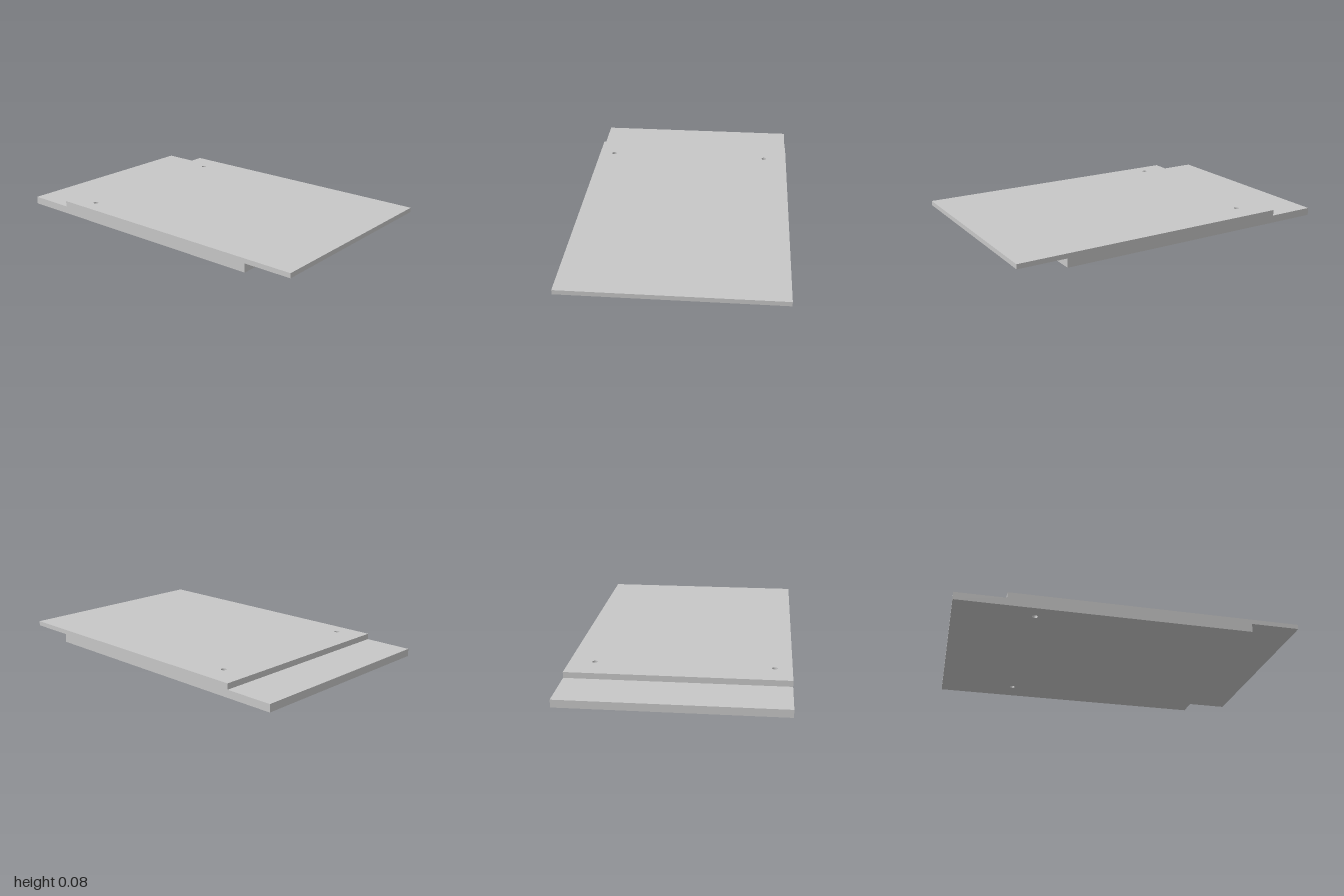
import * as THREE from 'three';

const HALF_DEPTH = 0.635; // z extent
const STEP = 0.71;        // x of both lap joints
const TOP = 0.08;         // full thickness

export function createModel() {
  const group = new THREE.Group();
  group.name = 'lapPanel';
  const grey = new THREE.MeshStandardMaterial({ color: 0xc7c7c7 });
  grey.name = 'lightGrey';

  const add = (name, geometry) => {
    const mesh = new THREE.Mesh(geometry, grey);
    mesh.name = name;
    group.add(mesh);
  };

  // Full-thickness core, drawn in plan (shape y becomes -z) with two through holes
  const plan = new THREE.Shape([
    new THREE.Vector2(-STEP, -HALF_DEPTH),
    new THREE.Vector2(STEP, -HALF_DEPTH),
    new THREE.Vector2(STEP, HALF_DEPTH),
    new THREE.Vector2(-STEP, HALF_DEPTH),
  ]);
  for (const z of [-0.488, 0.536]) {
    plan.holes.push(new THREE.Path().absarc(-0.542, -z, 0.016, 0, Math.PI * 2, true));
  }
  const core = new THREE.ExtrudeGeometry(plan, { depth: TOP, bevelEnabled: false, curveSegments: 24 });
  core.rotateX(-Math.PI / 2);
  add('core', core);

  // Thinner ledges: the lower one at -x, the upper one at +x
  const ledge = (name, x0, x1, y0, y1) => {
    const box = new THREE.BoxGeometry(x1 - x0, y1 - y0, HALF_DEPTH * 2);
    box.translate((x0 + x1) / 2, (y0 + y1) / 2, 0);
    add(name, box);
  };
  ledge('lowerLedge', -1, -STEP, 0, 0.045);
  ledge('upperLedge', STEP, 1, 0.052, TOP);

  return group;
}
